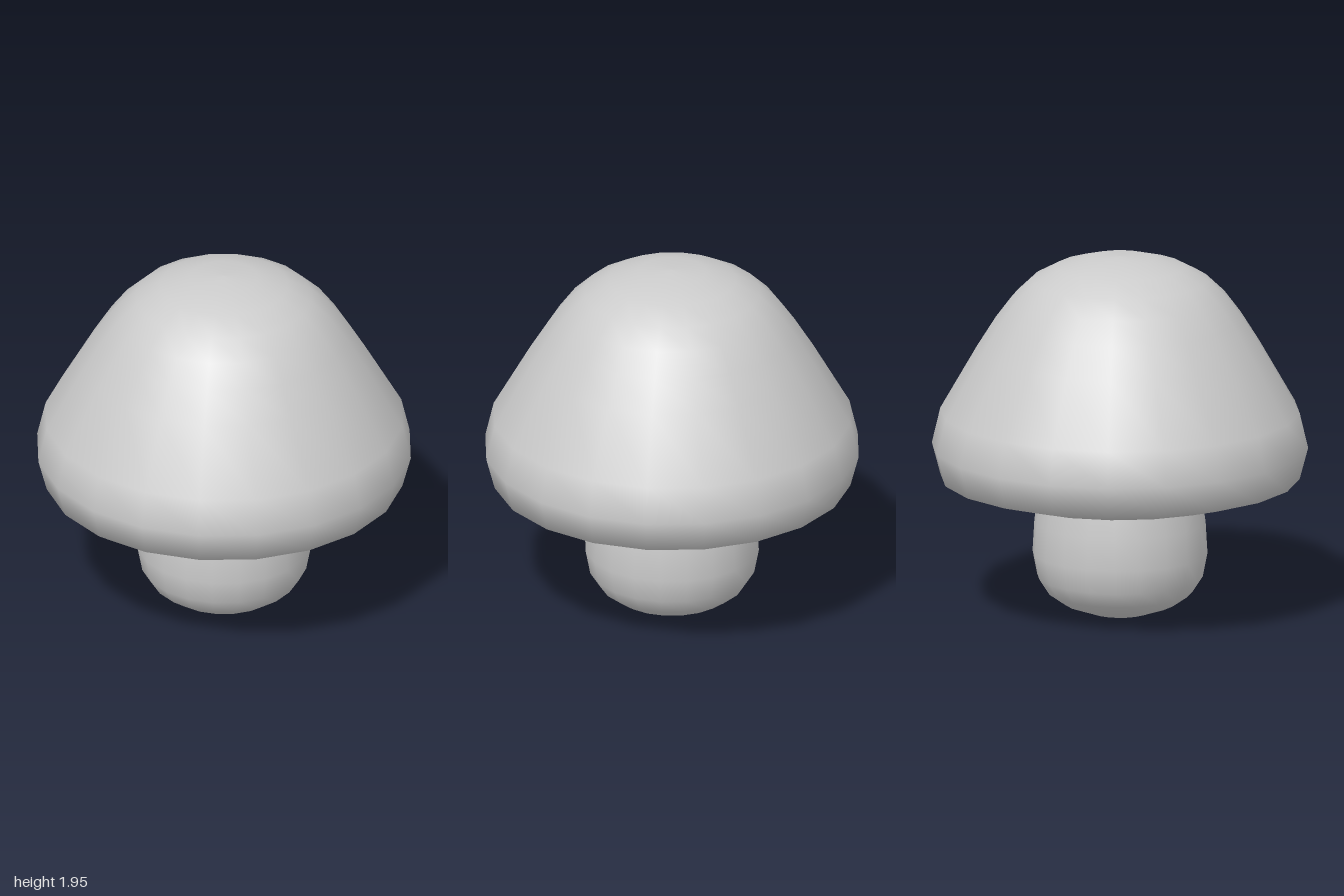
import * as THREE from 'three';

const SIDES = 20;

// Smooth turned part from a [radius, height] profile, listed bottom to top
function turned(name, profile, material) {
  const points = profile.map(([r, y]) => new THREE.Vector2(r, y));
  const mesh = new THREE.Mesh(new THREE.LatheGeometry(points, SIDES), material);
  mesh.name = name;
  return mesh;
}

export function createModel() {
  const model = new THREE.Group();
  model.name = 'mushroom';
  const material = new THREE.MeshStandardMaterial({ color: 0xcccccc });

  // Plump stem with a rounded foot, running up into the cap
  model.add(turned('stem', [
    [0, 0], [0.16, 0.015], [0.3, 0.065], [0.385, 0.125], [0.44, 0.21],
    [0.465, 0.34], [0.455, 0.51], [0.43, 0.68], [0.4, 0.82],
  ], material));

  // Cap: shallow hollow underside, rolled rim, sloping sides and domed top
  model.add(turned('cap', [
    [0.38, 0.8], [0.52, 0.74], [0.71, 0.68], [0.955, 0.75], [1, 0.92],
    [0.955, 1.11], [0.76, 1.45], [0.66, 1.61], [0.57, 1.73],
    [0.47, 1.825], [0.34, 1.895], [0.18, 1.94], [0, 1.95],
  ], material));

  return model;
}
